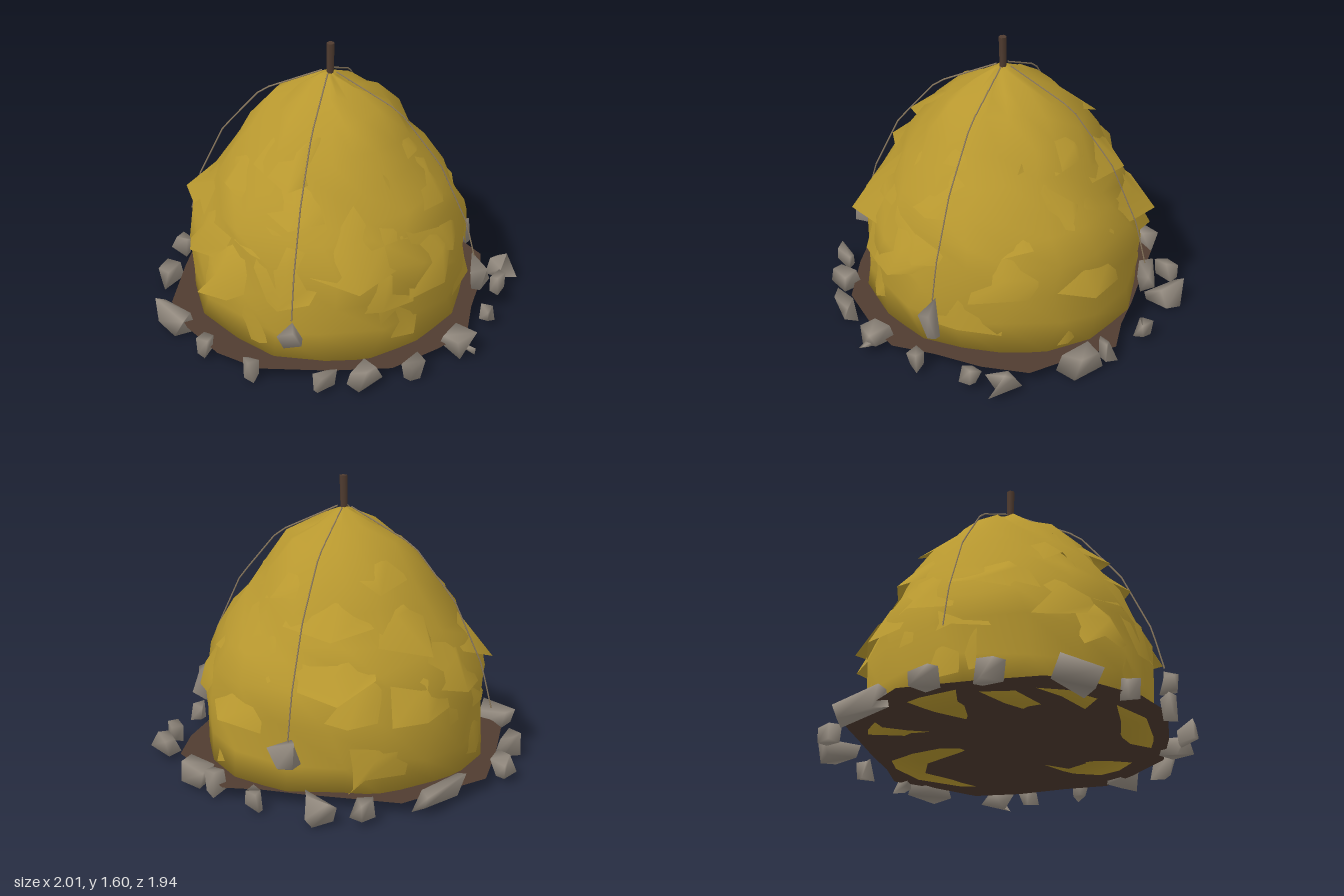
import * as THREE from 'three';
import { mergeVertices } from 'three/addons/utils/BufferGeometryUtils.js';

const CX = -0.045; // axis of the stack
// hay profile: [radius, height]
const PROFILE = [[0.775, 0.06], [0.785, 0.24], [0.785, 0.44], [0.745, 0.6], [0.69, 0.72], [0.62, 0.84],
  [0.535, 0.98], [0.435, 1.12], [0.31, 1.25], [0.16, 1.345], [0.05, 1.415], [0, 1.43]];

export function createModel() {
  let seed = 11;
  const rand = () => {
    seed = (seed * 16807) % 2147483647;
    return seed / 2147483647;
  };
  const jit = (a) => (rand() * 2 - 1) * a;

  const mat = (name, color, side = THREE.FrontSide) => {
    const m = new THREE.MeshStandardMaterial({ color, side });
    m.name = name;
    return m;
  };
  const hay = mat('hay yellow', 0xb8982f, THREE.DoubleSide);
  const wood = mat('earth and wood brown', 0x503c30, THREE.DoubleSide);
  const stone = mat('stone grey', 0x958c81);
  const cord = mat('cord tan', 0x8f7d62);

  const root = new THREE.Group();
  root.name = 'haystack';
  const add = (name, geo, material, parent = root) => {
    const mesh = new THREE.Mesh(geo, material);
    mesh.name = name;
    parent.add(mesh);
    return mesh;
  };
  const group = (name) => {
    const g = new THREE.Group();
    g.name = name;
    root.add(g);
    return g;
  };
  // join shared corners, move every vertex by a rule, then smooth
  const reshape = (geo, rule) => {
    geo.deleteAttribute('uv');
    geo.deleteAttribute('normal');
    const g = mergeVertices(geo, 1e-3);
    const p = g.attributes.position, v = new THREE.Vector3();
    for (let i = 0; i < p.count; i++) {
      rule(v.fromBufferAttribute(p, i));
      p.setXYZ(i, v.x, v.y, v.z);
    }
    g.computeVertexNormals();
    return g;
  };
  const radiusAt = (y) => {
    for (let i = 1; i < PROFILE.length; i++) {
      const [r0, y0] = PROFILE[i - 1], [r1, y1] = PROFILE[i];
      if (y <= y1) return r0 + (r1 - r0) * THREE.MathUtils.clamp((y - y0) / (y1 - y0), 0, 1);
    }
    return 0;
  };

  // lumpy hay mound with an uneven underside
  const outline = [[0, 0.11], [0.3, 0.08], [0.58, 0.064], ...PROFILE].map(([r, y]) => new THREE.Vector2(r, y));
  const mound = reshape(new THREE.LatheGeometry(outline, 18), (v) => {
    const r = Math.hypot(v.x, v.z);
    if (r > 0.1) {
      const k = 1 + jit(v.y > 0.5 ? 0.06 : 0.025);
      const turn = jit(0.08);
      const a = Math.atan2(v.x, v.z) + turn;
      v.x = Math.sin(a) * r * k;
      v.z = Math.cos(a) * r * k;
      v.y += jit(v.y < 0.1 ? 0.022 : 0.035);
    }
    v.x += CX;
  });
  add('hayMound', mound, hay);

  // loose tufts: sheets tucked in at the top and standing off at the bottom
  const tufts = group('hayTufts');
  const tuft = (angle, y, w, h, lift) => {
    const geo = reshape(new THREE.PlaneGeometry(w, h, 2, 2), (v) => {
      const t = 0.5 - v.y / h; // 0 at the top, 1 at the bottom
      const yy = y + v.y + jit(0.06);
      const a = angle + (v.x + jit(0.07)) / Math.max(0.3, radiusAt(y));
      const edge = Math.abs(v.x) > 0.01 ? 0.35 : 1;
      const r = radiusAt(yy) - 0.035 + t * lift * edge + jit(0.02);
      v.set(CX + Math.sin(a) * r, yy, Math.cos(a) * r);
    });
    add('hayTuft', geo, hay, tufts);
  };
  const rows = [[0.32, 6, 0.4, 0.34], [0.58, 9, 0.4, 0.32], [0.78, 8, 0.38, 0.3],
    [0.98, 6, 0.36, 0.26], [1.16, 4, 0.3, 0.2]];
  rows.forEach(([y, n, w, h], k) => {
    for (let i = 0; i < n; i++) {
      tuft(((i + 0.5 * (k % 2) + jit(0.3)) / n) * Math.PI * 2, y + jit(0.05),
        w * (1 + jit(0.3)), h * (1 + jit(0.2)), k === 0 ? 0.05 : 0.09 + jit(0.04));
    }
  });
  tuft(-0.17, 0.46, 0.3, 0.24, 0.16); // large tuft at the front

  // earth patch under the hay
  const rim = [[-0.97, 0.14], [-0.86, -0.41], [-0.62, -0.56], [-0.4, -0.7], [-0.22, -0.8], [-0.05, -0.93],
    [0.2, -0.85], [0.46, -0.79], [0.62, -0.58], [0.74, -0.33], [0.87, -0.12], [0.84, 0.1], [0.76, 0.4],
    [0.52, 0.64], [0.22, 0.88], [-0.04, 0.93], [-0.33, 0.88], [-0.57, 0.77], [-0.78, 0.46]];
  const earth = new THREE.ShapeGeometry(new THREE.Shape(rim.map(([x, z]) => new THREE.Vector2(x, z))));
  earth.rotateX(Math.PI / 2).translate(0, 0.062, 0);
  add('earthPatch', earth, wood);

  // centre pole
  const pole = add('pole', new THREE.CylinderGeometry(0.022, 0.018, 0.25, 6), wood);
  pole.position.set(-0.038, 1.475, 0);
  pole.rotation.z = -0.02;

  // rough wedge-like stones from skewed boxes
  const rock = (name, parent, x, y, z, sx, sy, sz) => {
    const geo = reshape(new THREE.BoxGeometry(1, 1, 1), (v) => {
      v.set((v.x + jit(0.32)) * sx, (v.y + jit(0.25)) * sy, (v.z + jit(0.32)) * sz);
    });
    const m = add(name, geo, stone, parent);
    m.position.set(x, y, z);
    return m;
  };
  const stones = group('groundStones');
  [[-0.93, -0.2, 0.07, 0.25], [-0.79, -0.61, 0.07, 0.12], [-0.6, -0.77, 0.17, 0.1], [-0.28, -0.91, 0.06, 0.05],
    [0.02, -0.92, 0.06, 0.07], [0.17, -0.89, 0.16, 0.1], [0.61, -0.76, 0.16, 0.09], [0.72, -0.61, 0.05, 0.07],
    [0.89, 0, 0.12, 0.08], [0.85, 0.33, 0.05, 0.11], [0.68, 0.57, 0.11, 0.12], [0.56, 0.73, 0.06, 0.1],
    [0.19, 0.92, 0.06, 0.05], [-0.13, 0.92, 0.06, 0.06], [-0.44, 0.86, 0.18, 0.11], [-0.78, 0.58, 0.08, 0.11],
    [-0.93, 0.33, 0.09, 0.09], [0.86, -0.31, 0.07, 0.06]]
    .forEach(([x, z, sx, sz]) => rock('groundStone', stones, x, 0.073, z, sx, 0.1, sz));
  // flat shard at the widest point
  rock('groundShard', stones, 0.92, 0.055, -0.02, 0.13, 0.02, 0.03);

  // thin cords over the hay, three of them weighted with a stone
  const cords = group('cords');
  const path = [[0.04, 1.43], [0.4, 1.25], [0.64, 0.96], [0.8, 0.62], [0.86, 0.38]];
  const ends = [[0.41, 0.77, 0.09, 0.1], [0.82, -0.34, 0.09, 0.16], [-0.36, -0.79, 0.1, 0.13], [-0.82, 0.34]];
  ends.forEach(([x, z, width, height]) => {
    const a = Math.atan2(x, z), s = Math.sin(a), c = Math.cos(a);
    const curve = new THREE.CurvePath();
    const pts = path.map(([r, y]) => new THREE.Vector3(CX + s * r, y, c * r));
    for (let i = 1; i < pts.length; i++) curve.add(new THREE.LineCurve3(pts[i - 1], pts[i]));
    add('cord', new THREE.TubeGeometry(curve, 16, 0.0045, 4), cord, cords);
    if (width) {
      const w = rock('cordStone', cords, CX + s * 0.88, 0.3, c * 0.88, width, height, 0.07);
      w.rotation.set(jit(0.3), a, 0.4);
    }
  });
  return root;
}
